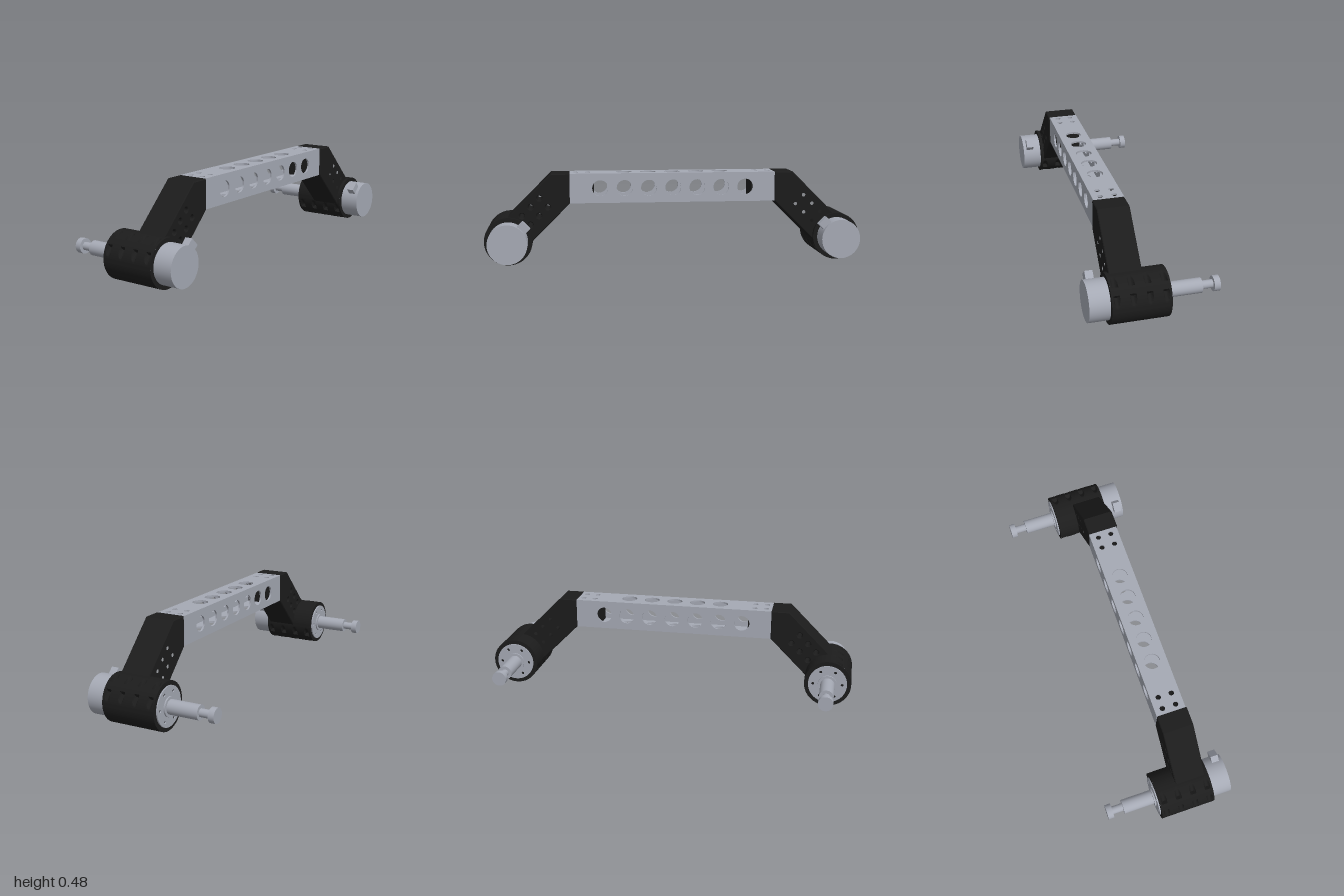
import * as THREE from 'three';
import { toCreasedNormals } from 'three/addons/utils/BufferGeometryUtils.js';

const metal = new THREE.MeshStandardMaterial({ color: 0xa5a9b4 });
const black = new THREE.MeshStandardMaterial({ color: 0x1c1c1c });

const AXLE_X = 0.874, AXLE_Y = 0.126, R = 0.125;
const BEAM = { half: 0.545, bottom: 0.32, top: 0.476, back: 0.05, front: 0.207, wall: 0.01 };
const MID_Y = (BEAM.bottom + BEAM.top) / 2, MID_Z = (BEAM.back + BEAM.front) / 2;

function mesh(name, geometry, material, parent) {
  const m = new THREE.Mesh(geometry, material);
  m.name = name;
  parent.add(m);
  return m;
}

// Extruded outline with round holes [x, y, radius]
function plate(points, holes, depth, bevel = 0) {
  const shape = new THREE.Shape(points.map(p => new THREE.Vector2(...p)));
  for (const [x, y, r] of holes) shape.holes.push(new THREE.Path().absarc(x, y, r, 0, Math.PI * 2, true));
  const geo = new THREE.ExtrudeGeometry(shape, {
    depth: depth - 2 * bevel, curveSegments: 16, bevelEnabled: bevel > 0,
    bevelSize: bevel, bevelOffset: -bevel, bevelThickness: bevel, bevelSegments: 1,
  });
  geo.translate(0, 0, bevel);
  return toCreasedNormals(geo, 0.5);
}

const rect = (x0, x1, y0, y1) => [[x0, y0], [x1, y0], [x1, y1], [x0, y1]];

// Cylinder along z between two depths
function rod(name, r, z0, z1, material, parent) {
  const geo = new THREE.CylinderGeometry(r, r, z1 - z0, 40).rotateX(Math.PI / 2);
  geo.translate(0, 0, (z0 + z1) / 2);
  return mesh(name, geo, material, parent);
}

// Four (x, z) screw holes at one end of the beam
function screwHoles(s) {
  const out = [];
  for (const x of [0.45, 0.513]) for (const z of [-0.036, 0.036]) out.push([s * x, z, 0.014]);
  return out;
}

function createBeam(parent) {
  const beam = new THREE.Group();
  beam.name = 'beam';
  parent.add(beam);
  const { half, wall } = BEAM;
  const h = (BEAM.top - BEAM.bottom) / 2, d = (BEAM.front - BEAM.back) / 2;
  const row = (n, r) => Array.from({ length: n }, (_, i) => [(i - (n - 1) / 2) * 0.1285, 0, r]);
  const sideGeo = plate(rect(-half, half, -h, h), row(7, 0.042), wall);
  const flatHoles = [...row(5, 0.042), ...screwHoles(-1), ...screwHoles(1)];
  const flatGeo = plate(rect(-half, half, -d + wall, d - wall), flatHoles, wall).rotateX(-Math.PI / 2);
  mesh('beamFront', sideGeo, metal, beam).position.set(0, MID_Y, BEAM.front - wall);
  mesh('beamBack', sideGeo, metal, beam).position.set(0, MID_Y, BEAM.back);
  mesh('beamTop', flatGeo, metal, beam).position.set(0, BEAM.top - wall, MID_Z);
  mesh('beamBottom', flatGeo, metal, beam).position.set(0, BEAM.bottom, MID_Z);
}

function createArm(s, parent) {
  const arm = new THREE.Group();
  arm.name = s > 0 ? 'leftArm' : 'rightArm';
  parent.add(arm);
  // Bent bracket with two diagonal rows of holes
  const outline = [[0.545, 0.32], [0.545, 0.476], [0.642, 0.476], [0.87, 0.248], [0.874, 0.2], [0.77, 0.095]];
  const holes = [];
  for (let i = 0; i < 3; i++) {
    holes.push([s * (0.703 + i * 0.046), 0.35 - i * 0.046, 0.0135]);
    holes.push([s * (0.659 + i * 0.046), 0.303 - i * 0.046, 0.0135]);
  }
  const geo = plate(outline.map(([x, y]) => [s * x, y]), holes, 0.163, 0.004);
  mesh('bracket', geo, black, arm).position.z = 0.05;
  // Plug that slides into the beam
  const w = 0.068, a = s * 0.418, b = s * 0.546;
  const plug = plate(rect(Math.min(a, b), Math.max(a, b), -w, w), screwHoles(s), 2 * w).rotateX(-Math.PI / 2);
  mesh('plug', plug, black, arm).position.set(0, MID_Y - w, MID_Z);
}

// Clamp housing: the wall is pushed in wherever a bolt pocket cuts it
function housingGeometry(s) {
  const z0 = -0.062, z1 = 0.23, k = Math.SQRT1_2;
  const geo = new THREE.CylinderGeometry(R, R, z1 - z0, 180, 84, true).rotateX(Math.PI / 2);
  geo.translate(0, 0, (z0 + z1) / 2);
  const p = geo.attributes.position;
  for (let i = 0; i < p.count; i++) {
    const x = p.getX(i) * s, y = p.getY(i), z = p.getZ(i);
    const u = (y - x) * k;
    let w = (x + y) * k;
    for (const bolt of [0.205, 0.125, 0.045, -0.035]) {
      const dz = Math.abs(z - bolt);
      if (dz > 0.0135 || Math.abs(u) < 0.021) continue;
      const floor = 0.114 - Math.sqrt(0.0135 ** 2 - dz * dz);
      if (Math.abs(w) > floor) w = Math.sign(w) * floor;
    }
    p.setXYZ(i, s * (w - u) * k, (w + u) * k, z);
  }
  return toCreasedNormals(geo, 0.6);
}

function createMotor(s, parent) {
  const motor = new THREE.Group();
  motor.name = s > 0 ? 'leftMotor' : 'rightMotor';
  motor.position.set(s * AXLE_X, AXLE_Y, 0);
  parent.add(motor);
  mesh('housing', housingGeometry(s), black, motor);
  const ring = new THREE.RingGeometry(0.08, R, 90);
  mesh('housingFrontRim', ring, black, motor).position.z = 0.23;
  const rear = mesh('housingBackRim', ring, black, motor);
  rear.rotation.y = Math.PI;
  rear.position.z = -0.062;
  rod('motorCan', 0.103, -0.06, 0.333, metal, motor);

  // Rear face plate with a circle of screw holes
  const circle = Array.from({ length: 60 }, (_, i) => [0.103 * Math.cos(i * Math.PI / 30), 0.103 * Math.sin(i * Math.PI / 30)]);
  const holes = Array.from({ length: 6 }, (_, i) => [0.078 * Math.cos(i * Math.PI / 3), 0.078 * Math.sin(i * Math.PI / 3), 0.008]);
  mesh('facePlate', plate(circle, holes, 0.009), metal, motor).position.z = -0.069;
  rod('facePlateBacking', 0.1, -0.063, -0.06, black, motor);

  // Stepped output shaft
  rod('boss', 0.051, -0.077, -0.066, metal, motor);
  rod('shaft', 0.038, -0.243, -0.07, metal, motor);
  rod('shaftNeck', 0.021, -0.305, -0.24, metal, motor);
  rod('shaftEnd', 0.039, -0.333, -0.302, metal, motor);

  // Terminal block facing the arm
  const block = mesh('terminal', new THREE.BoxGeometry(0.056, 0.06, 0.04), metal, motor);
  block.position.set(-s * 0.077, 0.077, 0.295);
  block.rotation.z = s * Math.PI / 4;
}

export function createModel() {
  const model = new THREE.Group();
  model.name = 'axleFrame';
  const frame = new THREE.Group();
  frame.name = 'frame';
  frame.position.x = -0.007;
  model.add(frame);
  createBeam(frame);
  for (const s of [1, -1]) {
    createArm(s, frame);
    createMotor(s, model);
  }
  return model;
}
